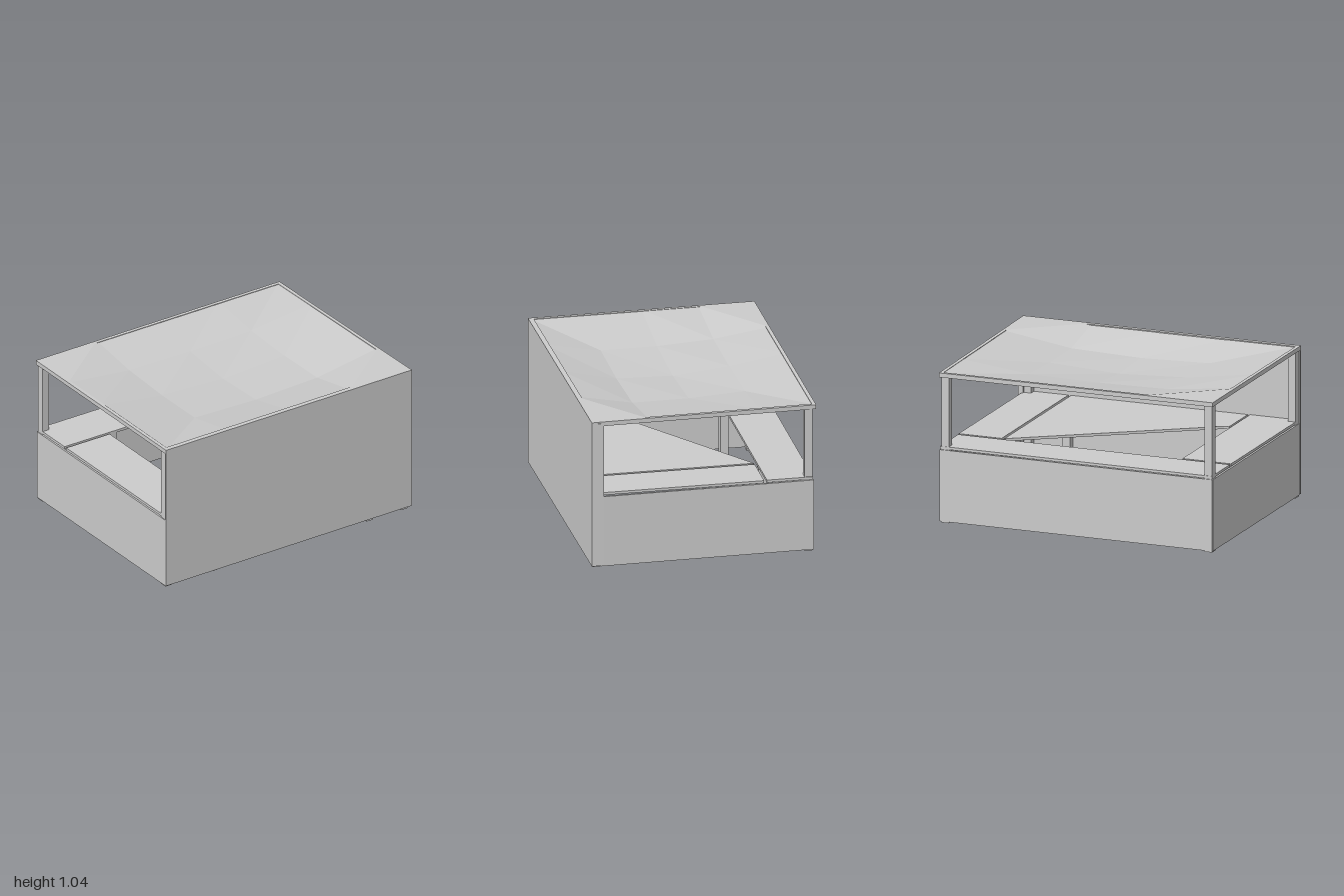
import * as THREE from 'three';

export function createModel() {
  const model = new THREE.Group();
  const mat = new THREE.MeshStandardMaterial({ color: 0xcccccc, flatShading: true });
  const sheetMat = new THREE.MeshStandardMaterial({ color: 0xcccccc, flatShading: true, side: THREE.DoubleSide });

  const add = (name, geo, material = mat) => {
    const mesh = new THREE.Mesh(geo, material);
    mesh.name = name;
    model.add(mesh);
    return mesh;
  };

  // Axis-aligned box from its limits
  const box = (name, x0, x1, y0, y1, z0, z1) => {
    const mesh = add(name, new THREE.BoxGeometry(x1 - x0, y1 - y0, z1 - z0));
    mesh.position.set((x0 + x1) / 2, (y0 + y1) / 2, (z0 + z1) / 2);
    return mesh;
  };

  // Upright panel running between two ground points
  const panel = (name, [x0, z0], [x1, z1], y0, y1, t) => {
    const mesh = add(name, new THREE.BoxGeometry(Math.hypot(x1 - x0, z1 - z0), y1 - y0, t));
    mesh.position.set((x0 + x1) / 2, (y0 + y1) / 2, (z0 + z1) / 2);
    mesh.rotation.y = -Math.atan2(z1 - z0, x1 - x0);
    return mesh;
  };

  // Flat board cut from an outline of [x, z] points
  const board = (name, points, y, t) => {
    const shape = new THREE.Shape(points.map(([x, z]) => new THREE.Vector2(x, -z)));
    const geo = new THREE.ExtrudeGeometry(shape, { depth: t, bevelEnabled: false });
    geo.rotateX(-Math.PI / 2);
    add(name, geo).position.y = y;
  };

  // Full-height front wall with its return at the left corner
  panel('frontWall', [-1, 0.765], [0.998, 0.745], 0.015, 1.04, 0.015);
  box('frontWallReturn', 0.965, 0.998, 0.015, 1.03, 0.67, 0.745);

  // Half-height walls
  panel('leftWall', [0.985, 0.69], [0.965, -0.76], 0.01, 0.505, 0.015);
  panel('rightWall', [-0.99, 0.755], [-0.99, -0.76], 0.01, 0.505, 0.015);
  panel('backWall', [-0.995, -0.757], [0.97, -0.757], 0.01, 0.505, 0.015);

  // Corner posts up to the roof
  const corners = [[-0.965, 0.725], [0.94, 0.715], [0.935, -0.73], [-0.965, -0.73]];
  for (const [x, z] of corners) box('cornerPost', x - 0.027, x + 0.027, 0, 1.02, z - 0.027, z + 0.027);

  // Short legs under the counter
  for (const x of [-0.595, 0.66]) {
    for (const z of [-0.475, 0.72]) box('counterLeg', x - 0.027, x + 0.027, 0, 0.51, z - 0.027, z + 0.027);
  }

  // Counter boards around the opening
  box('backCounter', -0.99, 0.97, 0.51, 0.528, -0.76, -0.445);
  box('rightCounter', -0.99, -0.64, 0.51, 0.528, -0.425, 0.755);
  box('leftCounter', 0.665, 0.975, 0.51, 0.528, -0.425, 0.74);
  board('middleCounter', [[0.645, -0.425], [-0.59, 0.42], [-0.625, 0.42], [-0.625, 0.75], [0.645, 0.74]], 0.51, 0.018);

  // Sagging roof sheet on a slightly uneven footprint
  const sag = [
    [0, 0, 0, 0, 0],
    [0, 0.055, 0.062, 0.055, 0],
    [0, 0.075, 0.1, 0.075, 0],
    [0, 0.075, 0.09, 0.075, 0],
    [0, 0, 0, 0, 0],
  ];
  const roof = new THREE.PlaneGeometry(2, 2, 4, 4).rotateX(-Math.PI / 2);
  const pos = roof.attributes.position;
  for (let i = 0; i < pos.count; i++) {
    const col = i % 5, row = Math.floor(i / 5), u = col / 4, v = row / 4;
    const right = 0.97 + 0.025 * v;
    const back = -0.77 - 0.01 * u, front = 0.77 - 0.02 * u;
    pos.setXYZ(i, -1 + (right + 1) * u, 1.04 - sag[row][col], back + (front - back) * v);
  }
  roof.computeVertexNormals();
  add('roofSheet', roof, sheetMat);

  // Rim beams below the roof edge
  panel('roofRim', [-1, -0.757], [0.97, -0.767], 1.01, 1.04, 0.025);
  panel('roofRim', [0.958, -0.775], [0.982, 0.745], 1.01, 1.04, 0.025);
  panel('roofRim', [-0.987, -0.77], [-0.987, 0.765], 1.01, 1.04, 0.025);
  panel('roofRim', [-0.99, 0.75], [0.98, 0.73], 1.01, 1.04, 0.025);

  return model;
}
